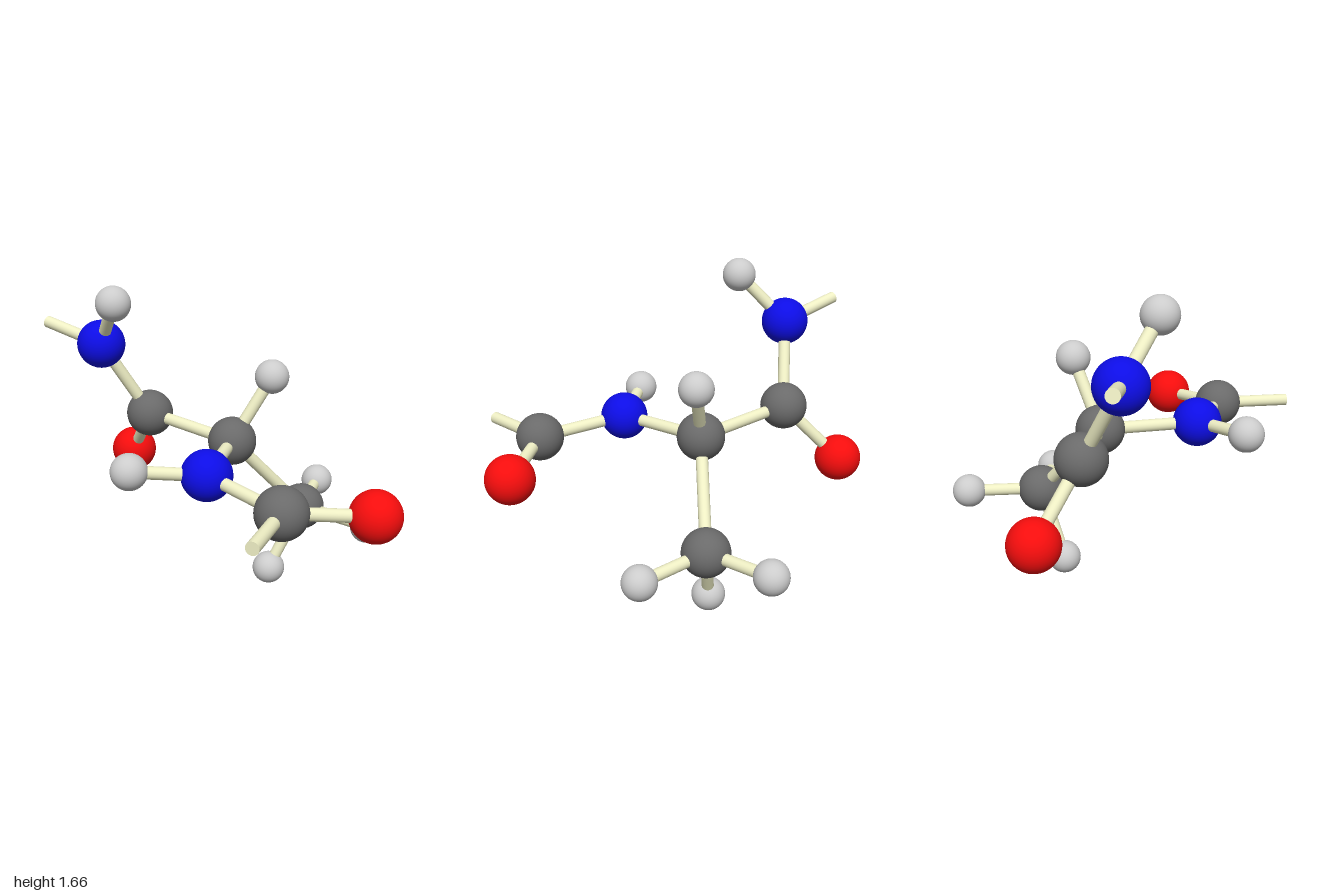
import * as THREE from 'three';

const material = (color) => new THREE.MeshStandardMaterial({ color });

// Atom kinds: radius and colour
const KINDS = {
  carbon: { radius: 0.123, material: material(0x6a6a6a) },
  nitrogen: { radius: 0.123, material: material(0x0d0de6) },
  oxygen: { radius: 0.123, material: material(0xf50d0d) },
  hydrogen: { radius: 0.087, material: material(0xbfbfbf) },
};
const BOND_RADIUS = 0.031;
const BOND_MATERIAL = material(0xeeeec4);

// Atom centres
const ATOMS = {
  centralCarbon: ['carbon', -0.01, 0.87, -0.085],
  centralHydrogen: ['hydrogen', 0.19, 1.193, -0.022],
  // rear branch
  rearCarbon: ['carbon', -0.222, 0.928, -0.573],
  rearOxygen: ['oxygen', -0.175, 0.625, -0.877],
  rearNitrogen: ['nitrogen', -0.46, 1.325, -0.63],
  rearHydrogen: ['hydrogen', -0.5, 1.577, -0.382],
  // front branch
  frontNitrogen: ['nitrogen', -0.37, 0.871, 0.262],
  frontHydrogen: ['hydrogen', -0.7, 0.914, 0.127],
  frontCarbon: ['carbon', -0.267, 0.822, 0.715],
  frontOxygen: ['oxygen', 0.129, 0.77, 0.875],
  // side group
  sideCarbon: ['carbon', 0.4, 0.431, -0.033],
  sideHydrogenBack: ['hydrogen', 0.695, 0.44, -0.281],
  sideHydrogenFront: ['hydrogen', 0.57, 0.4, 0.315],
  sideHydrogenLow: ['hydrogen', 0.222, 0.09, -0.083],
};

// Open ends where the chain would continue
const STUBS = {
  rearStub: [-0.617, 1.403, -0.948],
  frontStub: [-0.573, 0.828, 0.945],
};

const BONDS = [
  ['centralCarbon', 'centralHydrogen'],
  ['centralCarbon', 'rearCarbon'],
  ['centralCarbon', 'frontNitrogen'],
  ['centralCarbon', 'sideCarbon'],
  ['rearCarbon', 'rearOxygen'],
  ['rearCarbon', 'rearNitrogen'],
  ['rearNitrogen', 'rearHydrogen'],
  ['rearNitrogen', 'rearStub'],
  ['frontNitrogen', 'frontHydrogen'],
  ['frontNitrogen', 'frontCarbon'],
  ['frontCarbon', 'frontOxygen'],
  ['frontCarbon', 'frontStub'],
  ['sideCarbon', 'sideHydrogenBack'],
  ['sideCarbon', 'sideHydrogenFront'],
  ['sideCarbon', 'sideHydrogenLow'],
];

// Capped rod between two points
function makeBond(a, b) {
  const along = b.clone().sub(a);
  const geometry = new THREE.CylinderGeometry(BOND_RADIUS, BOND_RADIUS, along.length(), 24);
  const bond = new THREE.Mesh(geometry, BOND_MATERIAL);
  bond.position.copy(a).add(b).multiplyScalar(0.5);
  bond.quaternion.setFromUnitVectors(new THREE.Vector3(0, 1, 0), along.normalize());
  return bond;
}

export function createModel() {
  const model = new THREE.Group();
  model.name = 'ballAndStickMolecule';
  const points = {};

  // Balls
  for (const [name, [kind, ...centre]] of Object.entries(ATOMS)) {
    points[name] = new THREE.Vector3(...centre);
    const ball = new THREE.Mesh(
      new THREE.SphereGeometry(KINDS[kind].radius, 40, 28), KINDS[kind].material);
    ball.name = name;
    ball.position.copy(points[name]);
    model.add(ball);
  }
  for (const [name, end] of Object.entries(STUBS)) points[name] = new THREE.Vector3(...end);

  // Sticks
  for (const [from, to] of BONDS) {
    const bond = makeBond(points[from], points[to]);
    bond.name = `bond ${from} to ${to}`;
    model.add(bond);
  }
  return model;
}
